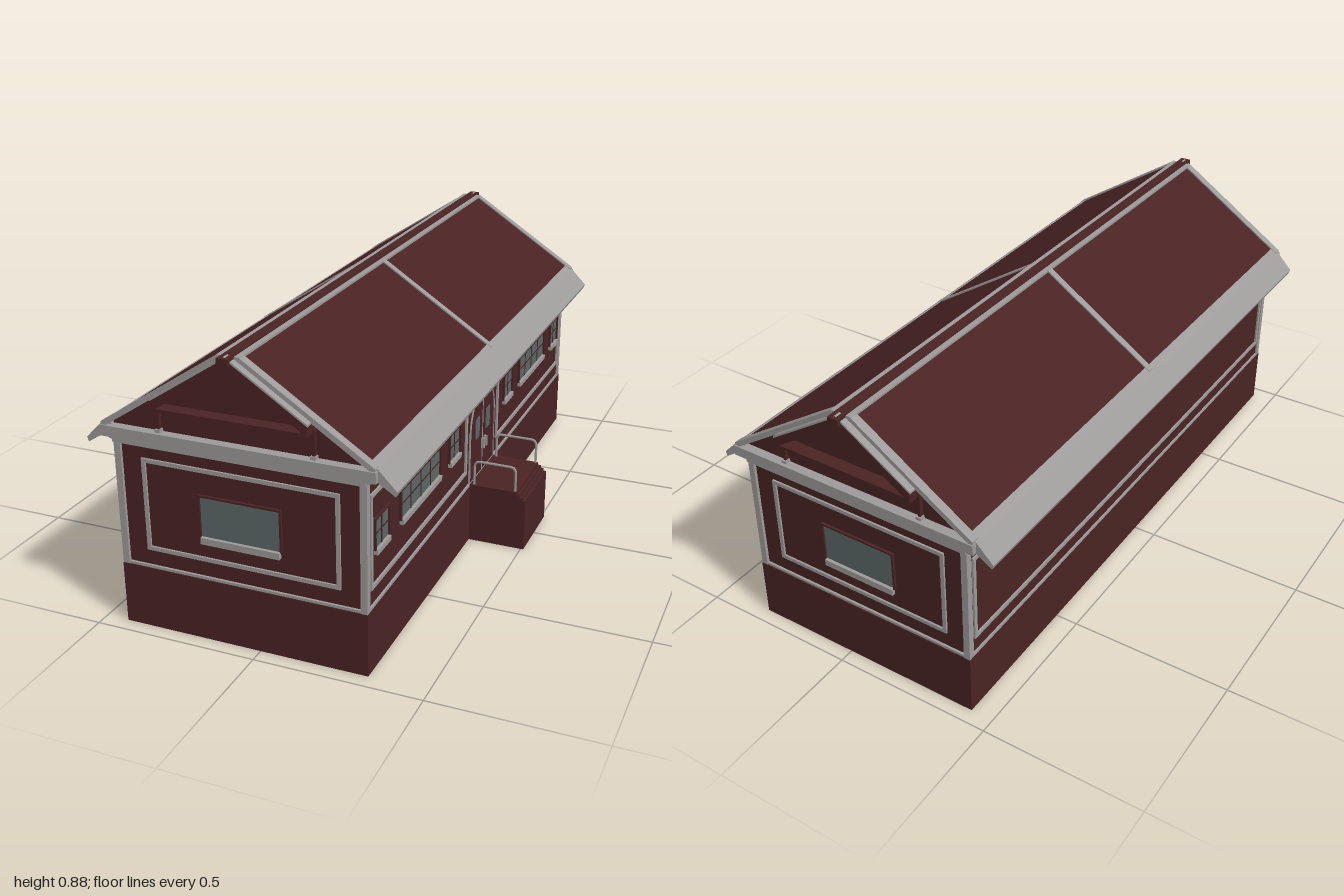
import * as THREE from 'three';

const mat = (name, color, side = THREE.FrontSide) => {
  const m = new THREE.MeshStandardMaterial({ color, side });
  m.name = name;
  return m;
};

export function createModel() {
  const red = mat('dark red siding', 0x4a2324);
  const grey = mat('grey trim', 0x9c9b99);
  const glass = mat('window glass', 0x5b6866);

  const house = new THREE.Group();
  house.name = 'house';
  house.position.x = -0.0525;

  const add = (parent, name, geometry, material) => {
    const m = new THREE.Mesh(geometry, material);
    m.name = name;
    parent.add(m);
    return m;
  };
  // Box given by its limits
  const box = (parent, name, material, x0, x1, y0, y1, z0, z1) => {
    const g = new THREE.BoxGeometry(x1 - x0, y1 - y0, z1 - z0);
    g.translate((x0 + x1) / 2, (y0 + y1) / 2, (z0 + z1) / 2);
    return add(parent, name, g, material);
  };
  // Outline in x, y pulled along z
  const prism = (name, material, points, z0, z1) => {
    const shape = new THREE.Shape(points.map(([x, y]) => new THREE.Vector2(x, y)));
    const g = new THREE.ExtrudeGeometry(shape, { depth: z1 - z0, bevelEnabled: false });
    g.translate(0, 0, z0);
    return add(house, name, g, material);
  };
  const mirror = (points) => points.map(([x, y]) => [-x, y]);

  // Body
  box(house, 'foundation', red, -0.3775, 0.3775, 0, 0.19, -0.955, 0.955);
  box(house, 'baseTrim', grey, -0.3765, 0.3765, 0.19, 0.198, -0.952, 0.952);
  box(house, 'walls', red, -0.3705, 0.3705, 0.19, 0.58, -0.945, 0.945);
  for (const sx of [-1, 1]) for (const sz of [-1, 1]) {
    const c = box(house, 'cornerTrim', grey, -0.01, 0.01, 0.19, 0.58, -0.01, 0.01);
    c.position.set(sx * 0.3665, 0, sz * 0.944);
  }

  // One wall: local x runs along it, local z points outward
  const wall = (name, angle, distance) => {
    const g = new THREE.Group();
    g.name = name;
    g.rotation.y = angle;
    g.position.set(Math.sin(angle) * distance, 0, Math.cos(angle) * distance);
    house.add(g);
    return g;
  };
  const panelFrame = (parent, x0, x1) => {
    const t = 0.012, y0 = 0.246, y1 = 0.528, d = 0.006;
    box(parent, 'panelTrim', grey, x0, x1, y0, y0 + t, 0, d);
    box(parent, 'panelTrim', grey, x0, x1, y1 - t, y1, 0, d);
    box(parent, 'panelTrim', grey, x0, x0 + t, y0 + t, y1 - t, 0, d);
    box(parent, 'panelTrim', grey, x1 - t, x1, y0 + t, y1 - t, 0, d);
  };
  const makeWindow = (parent, x0, x1, y0, y1, sill, bars) => {
    const t = 0.006, d = 0.008;
    box(parent, 'windowGlass', glass, x0, x1, y0, y1, 0, 0.002);
    box(parent, 'windowFrame', red, x0 - t, x0, y0, y1 + t, 0, d);
    box(parent, 'windowFrame', red, x1, x1 + t, y0, y1 + t, 0, d);
    box(parent, 'windowFrame', red, x0, x1, y1, y1 + t, 0, d);
    box(parent, 'windowSill', grey, x0, x1, y0 - sill, y0, 0, 0.012);
    for (let i = 1; i < bars; i++) {
      const x = x0 + (x1 - x0) * i / bars;
      box(parent, 'windowBar', red, x - 0.0015, x + 0.0015, y0, y1, 0.002, 0.004);
    }
    if (bars > 1) {
      const y = (y0 + y1) / 2;
      box(parent, 'windowBar', red, x0, x1, y - 0.0015, y + 0.0015, 0.002, 0.004);
    }
  };

  // End walls
  for (const [name, angle] of [['frontWall', 0], ['backWall', Math.PI]]) {
    const w = wall(name, angle, 0.945);
    panelFrame(w, -0.295, 0.298);
    makeWindow(w, -0.118, 0.122, 0.322, 0.443, 0.02, 1);
  }

  // Plain long wall
  panelFrame(wall('plainSideWall', -Math.PI / 2, 0.3705), -0.925, 0.925);

  // Entrance wall with two window groups
  const entry = wall('entranceWall', Math.PI / 2, 0.3705);
  for (const s of [-1, 1]) {
    const span = (a, b) => s > 0 ? [a, b] : [-b, -a];
    panelFrame(entry, ...span(0.152, 0.925));
    for (const [a, b, bars] of [[0.226, 0.317, 2], [0.402, 0.712, 4], [0.802, 0.895, 2]])
      makeWindow(entry, ...span(a, b), 0.355, 0.443, 0.015, bars);
  }

  // Arched double door
  const arch = new THREE.Shape();
  arch.moveTo(-0.12, 0.19);
  arch.lineTo(0.12, 0.19);
  arch.lineTo(0.12, 0.37);
  arch.absarc(0, 0.37, 0.12, 0, Math.PI);
  add(entry, 'doors', new THREE.ExtrudeGeometry(arch, { depth: 0.004, bevelEnabled: false, curveSegments: 16 }), red);
  const archTrim = add(entry, 'archTrim', new THREE.TorusGeometry(0.12, 0.003, 6, 24, Math.PI), grey);
  archTrim.position.set(0, 0.37, 0.004);
  box(entry, 'doorGap', grey, -0.0015, 0.0015, 0.2, 0.49, 0.004, 0.006);
  for (const s of [-1, 1]) {
    box(entry, 'doorJamb', grey, s * 0.12 - 0.002, s * 0.12 + 0.002, 0.2, 0.37, 0, 0.006);
    box(entry, 'doorWindow', glass, s * 0.052 - 0.019, s * 0.052 + 0.019, 0.33, 0.4, 0.004, 0.006);
    box(entry, 'doorHandle', grey, s * 0.012 - 0.003, s * 0.012 + 0.003, 0.28, 0.315, 0.006, 0.018);
  }

  // Porch with small steps and handrails
  prism('porch', red, [[0.37, 0], [0.5615, 0], [0.5615, 0.17], [0.552, 0.17], [0.552, 0.179],
    [0.543, 0.179], [0.543, 0.188], [0.533, 0.188], [0.533, 0.197], [0.37, 0.197]], -0.122, 0.122);
  for (const z of [-0.115, 0.115]) {
    const path = new THREE.CurvePath();
    const p = (x, y) => new THREE.Vector3(x, y, z);
    const a = 0.3895, b = 0.5255, r = 0.02, top = 0.278;
    path.add(new THREE.LineCurve3(p(a, 0.19), p(a, top - r)));
    path.add(new THREE.QuadraticBezierCurve3(p(a, top - r), p(a, top), p(a + r, top)));
    path.add(new THREE.LineCurve3(p(a + r, top), p(b - r, top)));
    path.add(new THREE.QuadraticBezierCurve3(p(b - r, top), p(b, top), p(b, top - r)));
    path.add(new THREE.LineCurve3(p(b, top - r), p(b, 0.19)));
    add(house, 'handrail', new THREE.TubeGeometry(path, 48, 0.004, 6), grey);
  }

  // Roof: height of the slope at a distance from the ridge line
  const roofY = (x) => 0.866 - (x - 0.03) * (0.249 / 0.38);
  const slopeStrip = (name, material, x0, x1, below, above, z0, z1) => {
    const pts = [[x0, roofY(x0) - below], [x1, roofY(x1) - below], [x1, roofY(x1) + above], [x0, roofY(x0) + above]];
    prism(name, material, pts, z0, z1);
    prism(name, material, mirror(pts), z0, z1);
  };
  prism('gableAndRoof', red, [[-0.41, 0.575], [0.41, 0.575], [0.41, roofY(0.41)], [0.03, 0.866],
    [-0.03, 0.866], [-0.41, roofY(0.41)]], -0.942, 0.942);
  slopeStrip('middleSeam', grey, 0.03, 0.4, 0.002, 0.005, -0.011, 0.011);
  box(house, 'ridgeCap', grey, -0.034, 0.034, 0.858, 0.87, -0.965, 0.965);
  box(house, 'ridgeBeam', red, -0.017, 0.017, 0.852, 0.873, -0.998, 0.998);

  // Eaves along both long sides
  const eave = [[0.386, roofY(0.386) + 0.004], [0.41, 0.618], [0.461, 0.566], [0.456, 0.552],
    [0.408, 0.583], [0.37, 0.568], [0.37, 0.6]];
  prism('eave', grey, eave, -0.955, 0.955);
  prism('eave', grey, mirror(eave), -0.955, 0.955);

  // Both gable ends
  for (const s of [-1, 1]) {
    const zs = (a, b) => s > 0 ? [a, b] : [-b, -a];
    slopeStrip('rakeTrim', grey, 0.03, 0.405, 0.014, 0.005, ...zs(0.94, 0.966));
    // Cornice band with a sloping lower edge
    box(house, 'cornice', grey, -0.408, 0.408, 0.585, 0.617, ...zs(0.94, 0.97));
    box(house, 'corniceFoot', grey, -0.376, 0.376, 0.567, 0.585, ...zs(0.94, 0.96));
    // Projecting chevron: red rafters under grey boards
    slopeStrip('gableRafter', red, 0.0, 0.228, 0.045, -0.016, ...zs(0.94, 0.988));
    slopeStrip('gableBoard', grey, 0.0, 0.23, 0.016, -0.01, ...zs(0.966, 0.987));
    box(house, 'gableTie', red, -0.228, 0.228, 0.688, 0.697, ...zs(0.94, 0.982));
    for (const x of [-0.23, 0.23]) {
      box(house, 'gablePost', red, x - 0.004, x + 0.004, 0.617, 0.7, ...zs(0.94, 0.955));
      box(house, 'postFoot', grey, x - 0.008, x + 0.008, 0.617, 0.626, ...zs(0.94, 0.96));
    }
  }

  const model = new THREE.Group();
  model.name = 'building';
  model.add(house);
  return model;
}
